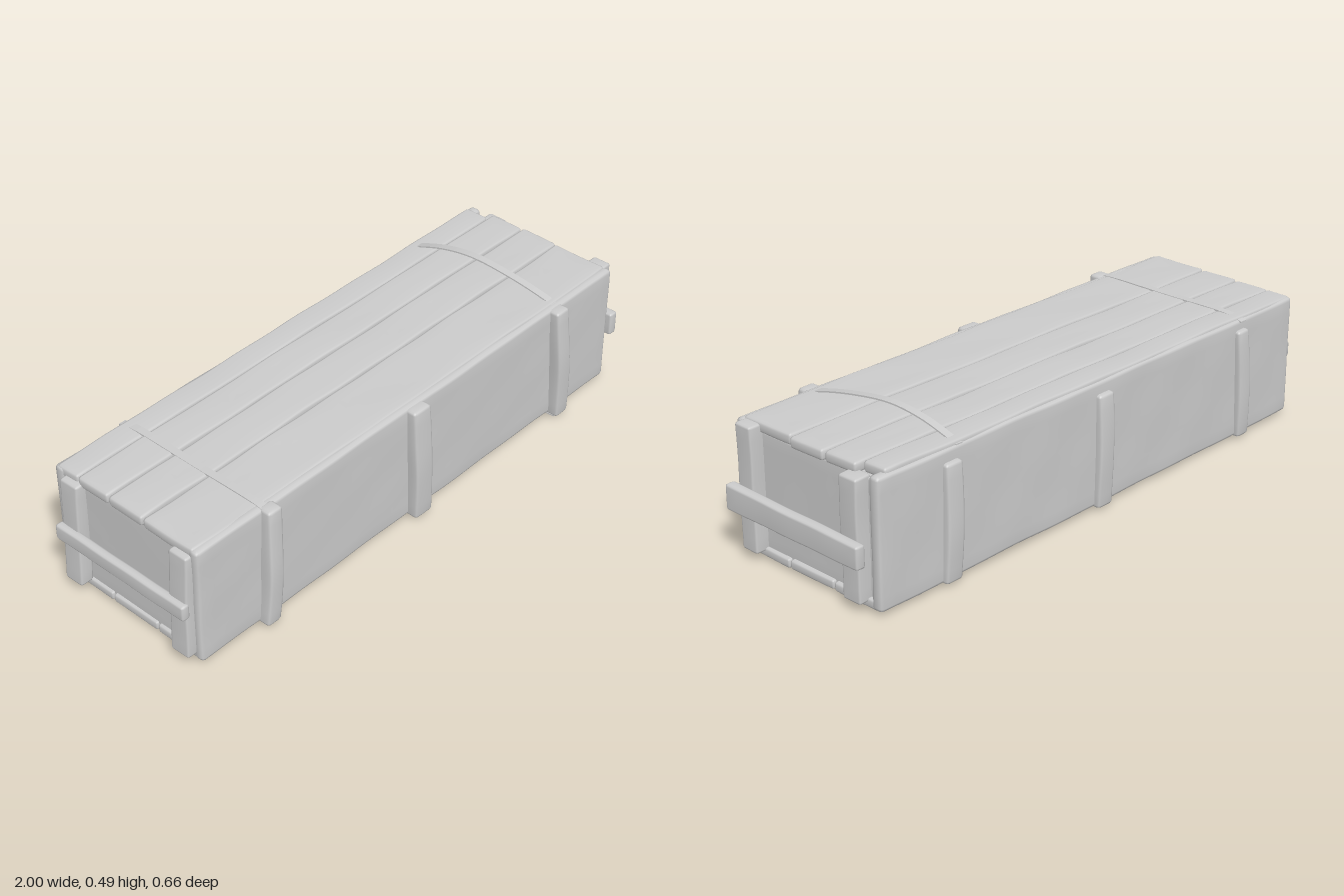
import * as THREE from 'three';
import { mergeVertices } from 'three/addons/utils/BufferGeometryUtils.js';

const wood = new THREE.MeshStandardMaterial({ color: 0xcccccc });

// Smooth, repeatable unevenness for hand-cut timber
const wave = (a, b, s) =>
  0.5 * Math.sin(a * 9 + s * 1.7) + 0.3 * Math.sin(a * 23 + b * 17 + s * 2.9) + 0.2 * Math.sin(b * 31 - a * 13 + s);

// Board with soft edges between two corners; bend(v) reshapes it in model space
function board(name, min, max, { r = 0.008, warp = 0.002, seed = 1, bend = null } = {}) {
  const lo = new THREE.Vector3(...min), hi = new THREE.Vector3(...max);
  const mid = lo.clone().add(hi).multiplyScalar(0.5);
  const size = hi.clone().sub(lo), half = size.clone().multiplyScalar(0.5);
  const n = size.toArray().map(s => Math.max(4, Math.min(44, Math.round(s / 0.04) + 2)));
  let geo = new THREE.BoxGeometry(size.x, size.y, size.z, ...n);
  geo.deleteAttribute('uv');
  geo.deleteAttribute('normal');
  geo = mergeVertices(geo);
  const pos = geo.attributes.position, v = new THREE.Vector3(), inner = new THREE.Vector3();
  for (let i = 0; i < pos.count; i++) {
    v.fromBufferAttribute(pos, i);
    // gather grid lines at the edges so that only a narrow rim is rounded
    ['x', 'y', 'z'].forEach((k, a) => {
      const step = Math.round((v[k] / size[k] + 0.5) * n[a]);
      const flat = half[k] - r;
      inner[k] = step === 0 ? -flat : step === n[a] ? flat : -flat + 2 * flat * (step - 1) / (n[a] - 2);
      v[k] = step === 0 ? -half[k] : step === n[a] ? half[k] : inner[k];
    });
    v.sub(inner).normalize().multiplyScalar(r).add(inner).add(mid);
    const { x, y, z } = v;
    v.x += warp * wave(y, z, seed);
    v.y += warp * wave(x, z, seed + 2);
    v.z += warp * wave(x, y, seed + 5);
    if (bend) bend(v);
    pos.setXYZ(i, v.x, v.y, v.z);
  }
  geo.computeVertexNormals();
  const mesh = new THREE.Mesh(geo, wood);
  mesh.name = name;
  return mesh;
}

// Thin band following points [z, y], drifting sideways by slope * z
function band(name, points, x, width, slope) {
  const curve = new THREE.CatmullRomCurve3(points.map(([z, y]) => new THREE.Vector3(z, y, 0)));
  const path = curve.getPoints(32);
  const shape = new THREE.Shape([
    ...path.map(p => new THREE.Vector2(p.x, p.y)),
    ...path.reverse().map(p => new THREE.Vector2(p.x, p.y - 0.005)),
  ]);
  const geo = new THREE.ExtrudeGeometry(shape, { depth: width, bevelEnabled: false });
  geo.rotateY(-Math.PI / 2);
  const pos = geo.attributes.position;
  for (let i = 0; i < pos.count; i++) pos.setX(i, pos.getX(i) + x + width / 2 + slope * pos.getZ(i));
  geo.computeVertexNormals();
  const mesh = new THREE.Mesh(geo, wood);
  mesh.name = name;
  return mesh;
}

export function createModel() {
  const crate = new THREE.Group();
  crate.name = 'crate';
  const add = (...parts) => crate.add(...parts);

  // Inner box, whose ends show as the recessed end panels
  add(board('innerBox', [-0.935, 0.025, -0.285], [0.918, 0.412, 0.27], { warp: 0.001 }));

  // Long side walls, rising slightly to the right
  const rise = v => { if (v.y > 0.3) v.y += 0.006 * v.x; };
  add(board('frontWall', [-0.95, 0.014, 0.25], [0.94, 0.432, 0.288], { r: 0.012, seed: 3, bend: rise }));
  add(board('backWall', [-0.95, 0.014, -0.305], [0.94, 0.428, -0.265], { r: 0.012, seed: 8, bend: rise }));

  // Lid and floor planks: [z from, z to, right end]
  [[0.068, 0.268, 0.928], [-0.075, 0.062, 0.934], [-0.205, -0.081, 0.928], [-0.295, -0.208, 0.9]].forEach(([a, b, end], i) => {
    add(board('lidPlank', [-0.947, 0.402, a], [end, 0.438, b], {
      r: 0.009, warp: 0.0025, seed: 4 + i * 3, bend: v => { v.y += 0.009 * v.x; },
    }));
  });
  [[0.095, 0.265], [-0.095, 0.09], [-0.28, -0.1]].forEach(([a, b], i) => {
    add(board('floorPlank', [-0.945, 0.01, a], [0.932, 0.04, b], { r: 0.007, seed: 11 + i * 4 }));
  });

  // Upright battens on the front and back, bowed outward at mid height
  const battens = [
    [1, -0.68, 0.055, 0.43, 0.05], [1, -0.03, 0.075, 0.428, -0.04], [1, 0.66, 0.06, 0.435, -0.06],
    [-1, -0.68, 0.055, 0.39, 0.04], [-1, 0.005, 0.065, 0.39, 0], [-1, 0.66, 0.065, 0.39, -0.03],
  ];
  battens.forEach(([side, x, w, top, lean], i) => {
    const z = [0.27, 0.318].map(d => side * d).sort((a, b) => a - b);
    add(board(side > 0 ? 'frontBatten' : 'backBatten', [x - w / 2, 0.01, z[0]], [x + w / 2, top, z[1]], {
      r: 0.01, seed: i * 2, bend: v => {
        v.x += lean * (v.y - 0.21);
        if (Math.abs(v.z) > 0.29) v.z += side * 0.012 * Math.cos((v.y - 0.2) * 6.5);
      },
    }));
  });

  // End frames: two uprights with a carrying bar across them
  const right = new THREE.Group(), left = new THREE.Group();
  right.name = 'rightEnd';
  left.name = 'leftEnd';
  right.add(
    board('upright', [0.905, 0.028, 0.197], [0.965, 0.438, 0.263], { seed: 2 }),
    board('upright', [0.905, 0.028, -0.244], [0.965, 0.42, -0.172], { seed: 6 }),
    board('carryingBar', [0.962, 0.158, -0.272], [0.997, 0.237, 0.288], {
      seed: 9, bend: v => { if (v.y > 0.2) v.y += 0.015 * v.z; },
    }),
  );
  left.add(
    board('upright', [-0.978, 0.035, 0.19], [-0.93, 0.405, 0.262], { seed: 5, bend: v => { v.x += 0.04 * (v.y - 0.2); } }),
    board('upright', [-0.978, 0.035, -0.262], [-0.93, 0.405, -0.19], { seed: 7, bend: v => { v.x += 0.04 * (v.y - 0.2); } }),
    board('carryingBar', [-0.998, 0.188, -0.272], [-0.968, 0.242, 0.265], { seed: 4 }),
  );
  add(right, left);

  // Loose band arching over the lid, tight band at the other end, and both underneath
  add(band('looseBand', [[0.3, 0.425], [0.24, 0.446], [0.1, 0.476], [-0.05, 0.491], [-0.17, 0.475], [-0.3, 0.432]], 0.64, 0.026, 0.07));
  add(band('tightBand', [[0.3, 0.425], [0.26, 0.432], [0, 0.433], [-0.26, 0.432], [-0.31, 0.42]], -0.68, 0.026, 0));
  [-0.68, 0.65].forEach(x => {
    add(band('lowerBand', [[0.31, 0.014], [0.15, 0.008], [-0.08, 0.006], [-0.31, 0.014]], x, 0.026, 0.02));
  });

  return crate;
}
